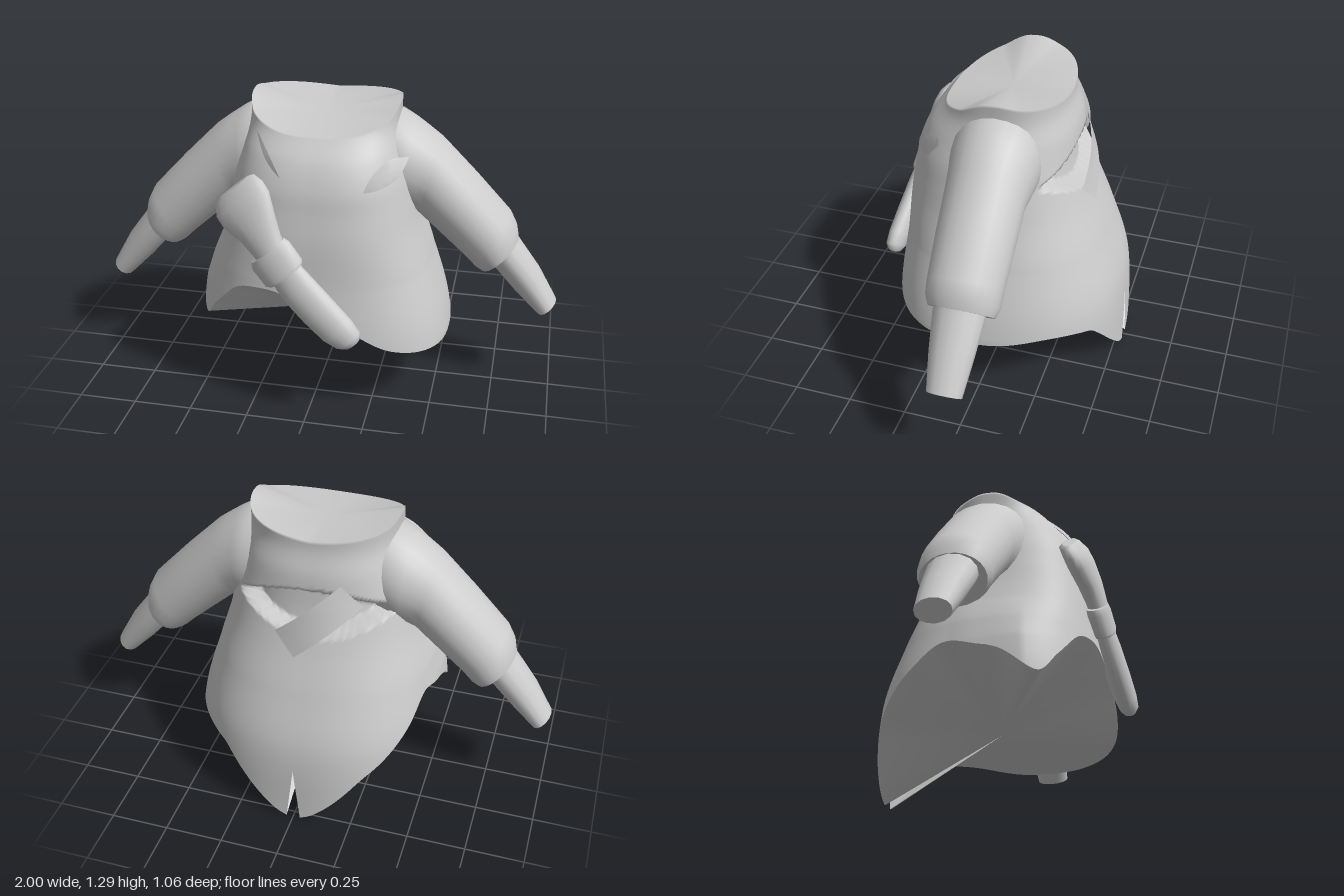
import * as THREE from 'three';
import { mergeVertices, mergeGeometries } from 'three/addons/utils/BufferGeometryUtils.js';

const material = new THREE.MeshStandardMaterial({ color: 0xcccccc, side: THREE.DoubleSide });
const { clamp, lerp, degToRad } = THREE.MathUtils;

// Smooth lookup in rows of [key, value, ...]
function lookup(rows, key, col = 1) {
  let i = 1;
  while (i < rows.length - 1 && key > rows[i][0]) i++;
  const slope = (k) => {
    const a = rows[Math.max(0, k - 1)], b = rows[Math.min(rows.length - 1, k + 1)];
    return (b[col] - a[col]) / (b[0] - a[0]);
  };
  const [a, b] = [rows[i - 1], rows[i]], w = b[0] - a[0];
  const t = clamp((key - a[0]) / w, 0, 1), s = 1 - t;
  return a[col] * s * s * (1 + 2 * t) + b[col] * t * t * (1 + 2 * s) + w * t * s * (slope(i - 1) * s - slope(i) * t);
}

// Weld a geometry and smooth it
function smooth(geometry) {
  geometry.deleteAttribute('normal');
  const g = mergeVertices(geometry, 1e-5);
  g.computeVertexNormals();
  return g;
}

// Smooth sheet from a function of u, v (both 0..1)
function sheet(nu, nv, fn) {
  const pos = [], idx = [], w = nu + 1;
  for (let j = 0; j <= nv; j++)
    for (let i = 0; i <= nu; i++) pos.push(...fn(i / nu, j / nv));
  for (let j = 0; j < nv; j++)
    for (let i = 0; i < nu; i++) {
      const p = j * w + i;
      idx.push(p, p + w, p + 1, p + 1, p + w, p + w + 1);
    }
  const g = new THREE.BufferGeometry();
  g.setAttribute('position', new THREE.Float32BufferAttribute(pos, 3));
  g.setIndex(idx);
  return smooth(g);
}

// Fan from an edge function to a centre point
const fan = (n, edge, centre) =>
  sheet(n, 1, (u, v) => edge(u).map((c, k) => lerp(c, centre[k], v)));

// Tube through sections [x, y, z, halfX, halfY, depth]; the half vector lies across the tube
function loft(sections, n = 20) {
  const last = sections.length - 1;
  const ring = (j) => {
    const [x, y, z, hx, hy, d] = sections[j];
    const a = sections[Math.max(0, j - 1)], b = sections[Math.min(last, j + 1)];
    const s = Math.sign(hx * (b[1] - a[1]) - hy * (b[0] - a[0])) || 1;
    return (u) => {
      const c = Math.cos(u * 2 * Math.PI), q = Math.sin(u * 2 * Math.PI);
      return [x + hx * c, y + hy * c, z + s * d * q];
    };
  };
  return mergeGeometries([
    sheet(n, last, (u, v) => ring(Math.round(v * last))(u)),
    fan(n, (u) => ring(0)(1 - u), sections[0]),
    fan(n, ring(last), sections[last]),
  ]);
}

// Body profile: height, half width, front depth, back depth
const profile = [
  [0, .54, .46, .53], [.35, .52, .45, .51], [.6, .465, .42, .43], [.78, .41, .405, .36],
  [.9, .385, .385, .32], [1.0, .365, .365, .3], [1.1, .335, .32, .285], [1.2, .31, .24, .255], [1.3, .31, .2, .25],
];
// Hem height by angle, front = 0, towards +x positive
const hem = [
  [-180, 0], [-174, .04], [-162, .14], [-152, .235], [-142, .3], [-122, .42], [-104, .51], [-85, .45], [-65, .34], [-52, .43], [-36, .54],
  [-22, .57], [-8, .56], [6, .48], [18, .39], [32, .33], [60, .29], [90, .28], [120, .315], [145, .285],
  [152, .235], [162, .14], [174, .04], [180, 0],
];
// Neck edge height by angle
const collar = [[-180, 1.24], [-115, 1.275], [-90, 1.29], [-60, 1.235], [0, 1.185], [60, 1.235], [90, 1.29], [115, 1.275], [180, 1.24]];

// Squareness of the cross-section, front and back
const power = (front) => (front ? 2.7 : 2.4);
const bend = (t, front) => Math.sign(t) * Math.abs(t) ** (2 / power(front));
function surfaceZ(x, y, front) {
  const p = power(front), r = clamp(Math.abs(x) / lookup(profile, y, 1), 0, 1);
  return (front ? 1 : -1) * lookup(profile, y, front ? 2 : 3) * (1 - r ** p) ** (1 / p);
}

function bodyPoint(u, v) {
  const deg = u * 360 - 180, a = degToRad(deg);
  const y = lerp(lookup(collar, deg), lookup(hem, deg), v);
  const c = Math.cos(a), front = c > 0;
  let x = bend(Math.sin(a), front) * lookup(profile, y, 1);
  let z = bend(c, front) * lookup(profile, y, front ? 2 : 3);
  // eye-shaped recess of the torn upper back
  if (!front) {
    const e = 1 - ((x + .02) / .34) ** 2;
    const depth = Math.min(.945 + .09 * e - y, y - (.945 - .1 * e));
    if (e > 0 && depth > 0) {
      const k = 1 - .18 * Math.min(1, depth / .015);
      x *= k; z *= k;
    }
  }
  // slit in the tail, hem swung slightly to one side, and a flared torn corner
  x += Math.sign(deg) * .03 * clamp(1 - y / .26, 0, 1) * clamp((Math.abs(deg) - 160) / 20, 0, 1);
  x += .025 * clamp((.6 - y) / .3, 0, 1) * clamp(c + 1, 0, 1);
  x -= .03 * clamp(1 - Math.abs(deg + 72) / 30, 0, 1) * clamp((.7 - y) / .2, 0, 1);
  return [x, y, z];
}

export function createModel() {
  const model = new THREE.Group();
  const add = (name, geometry, parent = model) => {
    const mesh = new THREE.Mesh(geometry, material);
    mesh.name = name;
    parent.add(mesh);
  };

  // Torn coat body running smoothly into the closed neck, with a closed hem
  add('coatBody', smooth(mergeGeometries([
    sheet(180, 90, bodyPoint),
    fan(180, (u) => bodyPoint(1 - u, 0), [0, 1.215, 0]),
  ])));
  add('hemUnderside', fan(180, (u) => bodyPoint(u, 1), [.01, .28, -.03]));

  // Sleeves flaring into the shoulders, and forearms, mirrored
  for (const s of [1, -1]) {
    const arm = new THREE.Group();
    arm.name = s > 0 ? 'leftArm' : 'rightArm';
    model.add(arm);
    // section from its upper and lower point
    const cut = (tx, ty, bx, by, d, z = -.02) =>
      [s * (tx + bx) / 2, (ty + by) / 2, z, s * (tx - bx) / 2, (ty - by) / 2, d];
    add('sleeve', loft([
      cut(.24, 1.24, .24, .84, .17), cut(.31, 1.235, .3, .82, .187), cut(.37, 1.2, .34, .81, .177), cut(.42, 1.165, .37, .8, .168),
      cut(.48, 1.12, .4, .79, .162), cut(.63, .97, .5, .7, .158), cut(.78, .81, .6, .61, .152),
      cut(.81, .75, .64, .57, .15), cut(.82, .7, .67, .55, .135),
    ], 24), arm);
    add('forearm', loft([
      cut(.79, .74, .67, .64, .105), cut(.83, .68, .71, .585, .105), cut(.92, .56, .82, .46, .09), cut(1, .42, .925, .355, .072),
    ], 14), arm);
  }

  // Piece slung across the chest: flared head, band and rounded end
  const across = (x, y, z, w, d) => [x, y, z, w * .75, w * .66, d];
  const sling = new THREE.Group();
  sling.name = 'chestPiece';
  model.add(sling);
  add('flaredHead', loft([
    across(-.315, .985, .345, .08, .028), across(-.31, .975, .345, .11, .042), across(-.285, .945, .365, .13, .052),
    across(-.255, .91, .38, .13, .054), across(-.2, .84, .405, .095, .05), across(-.16, .775, .42, .075, .046), across(-.11, .7, .43, .07, .045),
  ]), sling);
  add('band', loft([
    across(-.16, .755, .42, .09, .05), across(-.145, .735, .424, .102, .054),
    across(-.09, .67, .436, .1, .054), across(-.08, .66, .44, .088, .048),
  ]), sling);
  add('roundedEnd', loft([
    across(-.1, .69, .435, .07, .04), across(-.03, .61, .45, .08, .048), across(.06, .525, .467, .08, .05),
    across(.14, .455, .483, .076, .047), across(.185, .42, .49, .062, .04), across(.205, .403, .49, .035, .024), across(.21, .4, .49, .008, .006),
  ]), sling);

  // Diagonal bandage over the torn back
  add('backBandage', sheet(6, 12, (u, v) => {
    const x = lerp(.08, -.18, v) + lerp(-.045, .045, u), y = lerp(.8, 1.03, v) + lerp(-.045, .045, u);
    return [x, y, surfaceZ(x, y, false) - .006 - .022 * Math.sin(Math.PI * v)];
  }));

  // Torn leaf-shaped flaps on the chest: tip, tip, width, lift
  const flap = (name, [x0, y0], [x1, y1], width, lift) => {
    const len = Math.hypot(x1 - x0, y1 - y0);
    add(name, sheet(4, 12, (u, v) => {
      const side = (u - .5) * width * Math.sin(Math.PI * v);
      const x = lerp(x0, x1, v) - side * (y1 - y0) / len, y = lerp(y0, y1, v) + side * (x1 - x0) / len;
      return [x, y, surfaceZ(clamp(x, -.3, .3), y, true) + .006 + lift * u * Math.sin(Math.PI * v)];
    }));
  };
  flap('chestTearLeft', [.21, 1.0], [.37, 1.11], .085, .025);
  flap('chestTearRight', [-.25, 1.18], [-.12, 1.04], .025, .012);

  return model;
}
